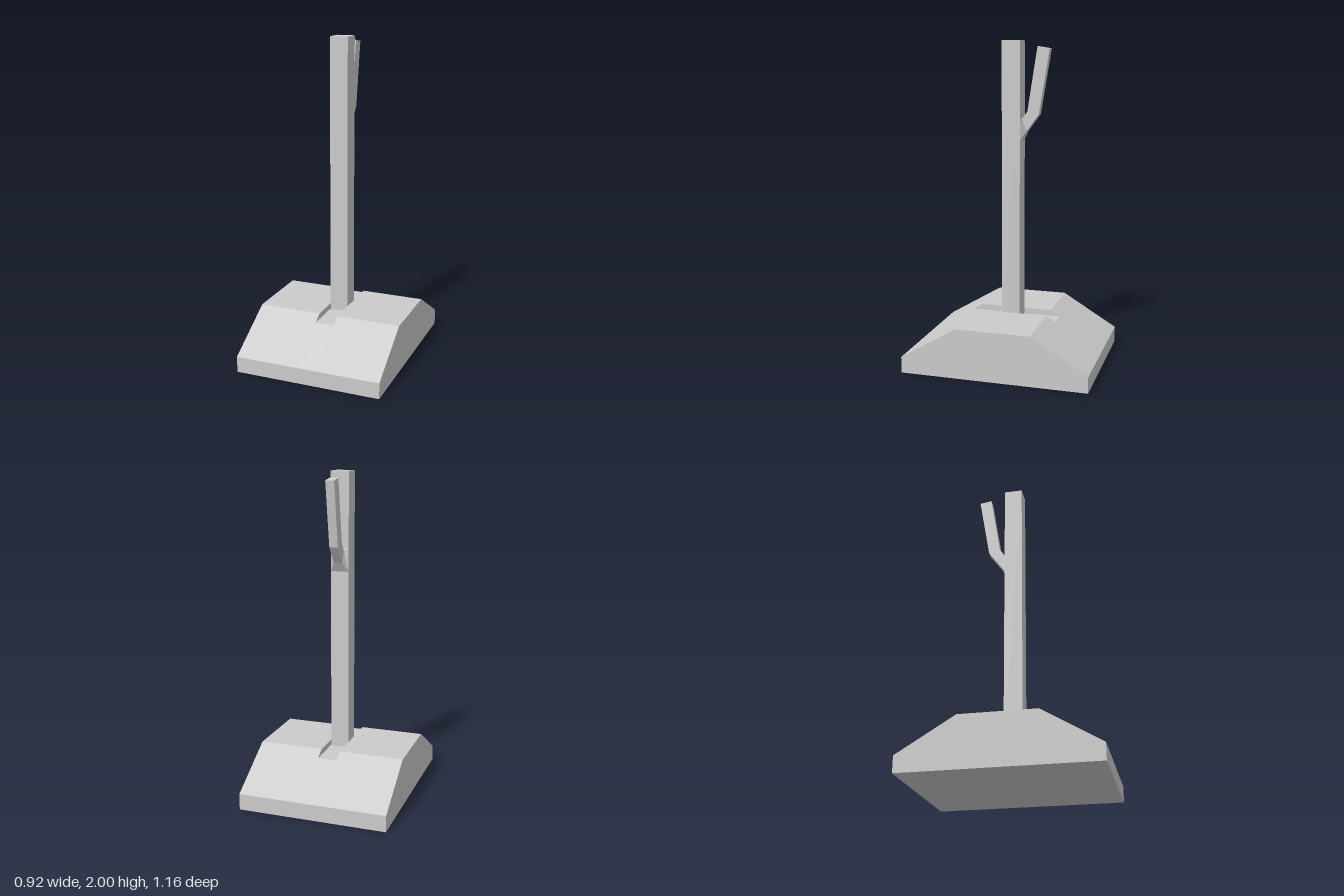
import * as THREE from 'three';

const material = new THREE.MeshStandardMaterial({ color: 0xcccccc, flatShading: true });

function addMesh(parent, name, geometry) {
  const mesh = new THREE.Mesh(geometry, material);
  mesh.name = name;
  parent.add(mesh);
  return mesh;
}

// Slab of the base: a (z, y) outline with sloped shoulders, extruded along x
function baseSlab(x0, x1, topHalf, topY) {
  const shape = new THREE.Shape([
    [-0.58, 0], [0.58, 0], [0.58, 0.1], [topHalf, topY], [-topHalf, topY], [-0.58, 0.1],
  ].map(([z, y]) => new THREE.Vector2(z, y)));
  const geometry = new THREE.ExtrudeGeometry(shape, { depth: x1 - x0, bevelEnabled: false });
  return geometry.rotateY(-Math.PI / 2).translate(x1, 0, 0);
}

// Loft through rectangular sections: half width, upper (y, z), lower (y, z)
function loft(sections) {
  const positions = [];
  const index = [];
  sections.forEach(([w, ty, tz, by, bz], i) => {
    positions.push(-w, ty, tz, w, ty, tz, w, by, bz, -w, by, bz);
    if (i === 0) return;
    const p = (i - 1) * 4;
    const q = i * 4;
    for (let j = 0; j < 4; j++) {
      const k = (j + 1) % 4;
      index.push(p + j, p + k, q + k, p + j, q + k, q + j);
    }
  });
  const e = (sections.length - 1) * 4;
  index.push(e, e + 1, e + 2, e, e + 2, e + 3); // tip cap
  const geometry = new THREE.BufferGeometry();
  geometry.setAttribute('position', new THREE.Float32BufferAttribute(positions, 3));
  geometry.setIndex(index);
  const flat = geometry.toNonIndexed();
  flat.computeVertexNormals();
  return flat;
}

export function createModel() {
  const model = new THREE.Group();
  model.name = 'postOnBase';

  // Base with a shallow slot running front to back through its top
  const base = new THREE.Group();
  base.name = 'base';
  model.add(base);
  addMesh(base, 'baseRight', baseSlab(-0.46, -0.06, 0.23, 0.31));
  addMesh(base, 'baseSlot', baseSlab(-0.06, 0.06, 0.29, 0.274));
  addMesh(base, 'baseLeft', baseSlab(0.06, 0.46, 0.23, 0.31));

  // Square post standing in the slot
  const bottom = 0.274;
  addMesh(model, 'post', new THREE.BoxGeometry(0.114, 2 - bottom, 0.114))
    .position.y = (2 + bottom) / 2;

  // Bent branch on the back, flared where it joins the post
  addMesh(model, 'branch', loft([
    [0.057, 1.54, -0.057, 1.4, -0.057],
    [0.027, 1.53, -0.06, 1.455, -0.09],
    [0.027, 1.575, -0.095, 1.56, -0.167],
    [0.027, 1.965, -0.157, 1.953, -0.232],
  ]));

  return model;
}
